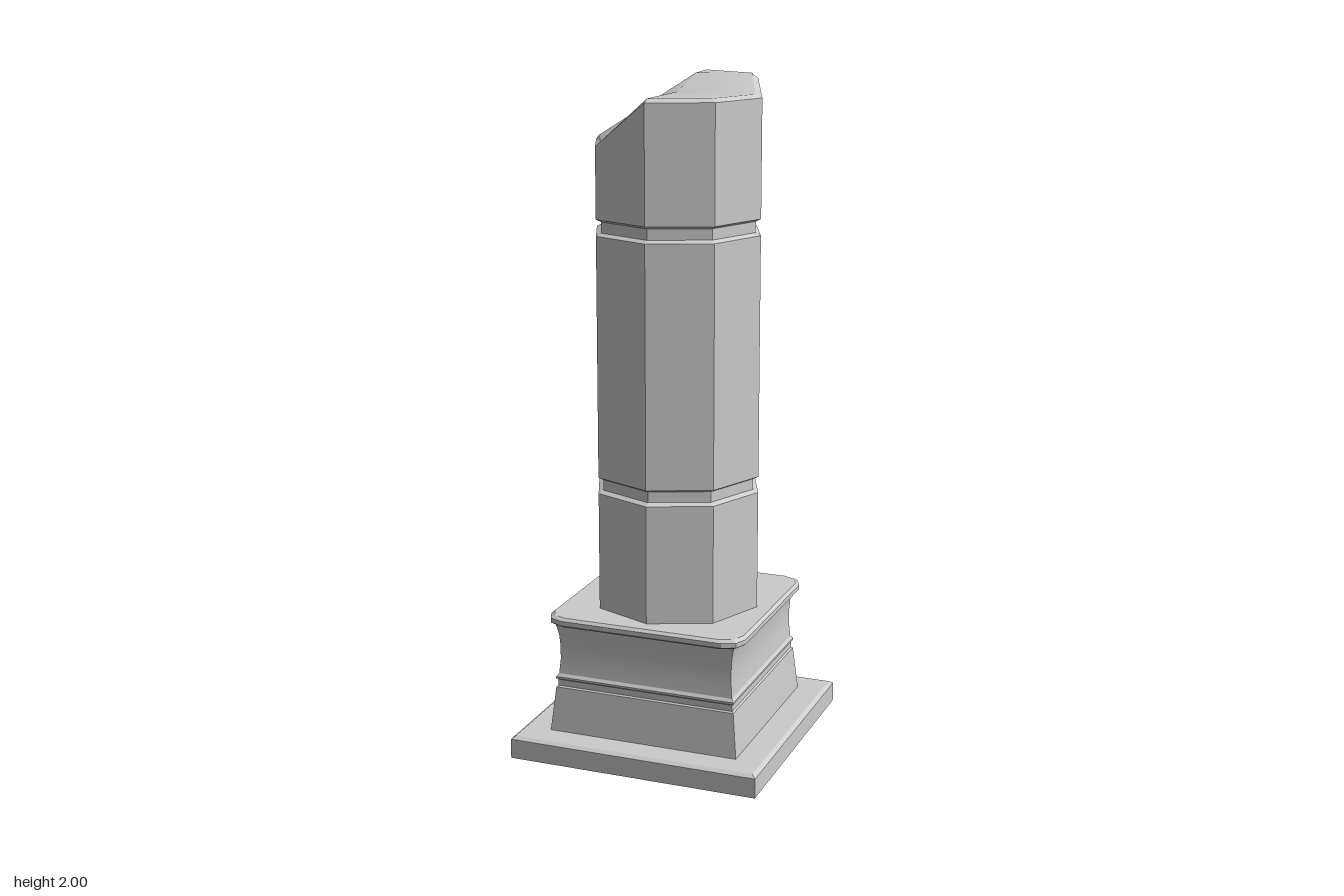
import * as THREE from 'three';
import { toCreasedNormals } from 'three/addons/utils/BufferGeometryUtils.js';

const material = new THREE.MeshStandardMaterial({ color: 0xcccccc, side: THREE.DoubleSide });

// Turns a list of triangles (three [x, y, z] corners each) into a named mesh
function triangleMesh(name, triangles, crease) {
  const geometry = new THREE.BufferGeometry();
  geometry.setAttribute('position', new THREE.Float32BufferAttribute(triangles.flat(2), 3));
  const mesh = new THREE.Mesh(toCreasedNormals(geometry, crease), material);
  mesh.name = name;
  return mesh;
}

// Skins a stack of equal-length rings, listed from bottom to top
function loft(name, rings, closeTop = false) {
  const triangles = [];
  for (let r = 0; r < rings.length - 1; r++) {
    const low = rings[r], high = rings[r + 1], n = low.length;
    for (let i = 0; i < n; i++) {
      const j = (i + 1) % n;
      triangles.push([low[i], low[j], high[j]], [low[i], high[j], high[i]]);
    }
  }
  if (closeTop) {
    const top = rings[rings.length - 1];
    top.forEach((p, i) => triangles.push([[0, p[1], 0], p, top[(i + 1) % top.length]]));
  }
  return triangleMesh(name, triangles, 0.35);
}

// Square ring of half width h
const square = ([h, y]) => [[-h, y, h], [h, y, h], [h, y, -h], [-h, y, -h]];

// Square ring with two-segment clipped corners
function clippedSquare([h, y]) {
  const ring = [];
  for (let q = 0; q < 4; q++) {
    const c = Math.round(Math.cos(q * Math.PI / 2)), s = Math.round(Math.sin(q * Math.PI / 2));
    for (const [x, z] of [[h - 0.055, h], [h - 0.016, h - 0.016], [h, h - 0.055]])
      ring.push([x * c + z * s, y, z * c - x * s]);
  }
  return ring;
}

// Octagon ring starting at +z and going towards +x; y is a height or one height per corner
const octagon = ([r, y]) => Array.from({ length: 8 }, (_, i) => {
  const a = i * Math.PI / 4;
  return [r * Math.sin(a), Array.isArray(y) ? y[i] : y, r * Math.cos(a)];
});

export function createModel() {
  const group = new THREE.Group();

  // Flat plinth and flared pedestal, hollow and open below
  group.add(loft('plinth', [[0.385, 0], [0.385, 0.06], [0.373, 0.068], [0.295, 0.068]].map(square)));
  group.add(loft('pedestal', [
    [0.295, 0.068], [0.281, 0.203], [0.276, 0.207], [0.276, 0.226], [0.281, 0.23], [0.281, 0.236],
    [0.274, 0.245], [0.27, 0.29], [0.27, 0.33], [0.273, 0.37], [0.281, 0.405],
  ].map(square)));

  // Thin cap slab with clipped corners
  group.add(loft('pedestalCap', [
    [0.275, 0.404], [0.3, 0.404], [0.307, 0.41], [0.307, 0.424], [0.298, 0.432],
  ].map(clippedSquare), true));

  // Octagonal shaft with two grooves and an uneven broken rim
  const R = 0.255, G = 0.239;
  const profile = [[R, 0.432]];
  for (const y of [0.814, 1.579])
    profile.push([R, y - 0.024], [G, y - 0.016], [G, y + 0.016], [R, y + 0.024]);
  const rimHeights = [1.945, 1.945, 1.945, 1.985, 1.985, 1.812, 1.81, 1.81];
  const topHeights = [1.955, 1.955, 1.955, 2, 2, 1.825, 1.822, 1.822];
  const rim = octagon([R, rimHeights]), top = octagon([0.235, topHeights]);
  top[6][0] = -0.246;
  top[5] = [-0.174, 1.825, -0.174];
  group.add(loft('shaft', [...profile.map(octagon), rim]));
  group.add(loft('brokenRim', [rim, top]));

  // Broken top: flat at front right, rising to the back, sloping down on the -x side
  const centre = [0, 1.955, 0], peak = [0, 1.997, -0.145];
  const faces = [];
  for (const i of [0, 1, 6, 7]) faces.push([centre, top[i], top[(i + 1) % 8]]);
  for (const i of [2, 3, 4, 5]) faces.push([peak, top[i], top[i + 1]]);
  faces.push([centre, top[2], peak], [centre, peak, top[6]]);
  group.add(triangleMesh('brokenTop', faces, 0.6));

  return group;
}
